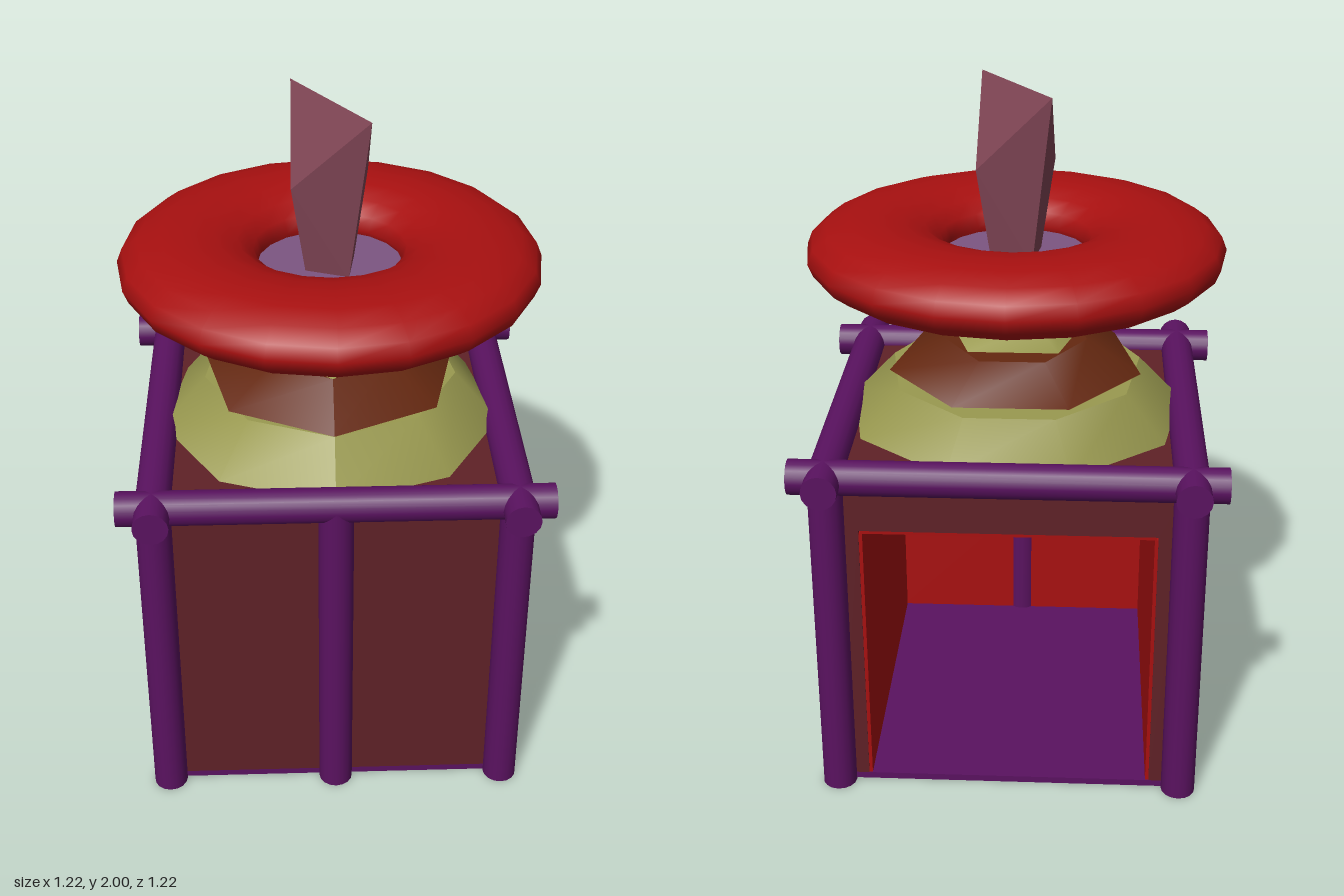
import * as THREE from 'three';
import { ConvexGeometry } from 'three/addons/geometries/ConvexGeometry.js';

const mat = (color, extra = {}) => new THREE.MeshStandardMaterial({ color, ...extra });
const purple = mat(0x5a1260), wall = mat(0x5f2127), red = mat(0xa81010);
const green = mat(0x9a9a50), brown = mat(0x652810);
const lilac = mat(0x7d5582), gem = mat(0x804555, { flatShading: true });

export function createModel() {
  const model = new THREE.Group();
  const add = (name, geometry, material, x = 0, y = 0, z = 0) => {
    const mesh = new THREE.Mesh(geometry, material);
    mesh.name = name;
    mesh.position.set(x, y, z);
    model.add(mesh);
    return mesh;
  };
  const box = (name, material, w, h, d, x, y, z) =>
    add(name, new THREE.BoxGeometry(w, h, d), material, x, y, z);

  // Hut walls: a thick arch open at the back, closed by a front panel
  const arch = new THREE.Shape([
    [-0.5, 0.02], [-0.42, 0.02], [-0.42, 0.85], [0.42, 0.85],
    [0.42, 0.02], [0.5, 0.02], [0.5, 1.02], [-0.5, 1.02],
  ].map(([x, y]) => new THREE.Vector2(x, y)));
  add('walls', new THREE.ExtrudeGeometry(arch, { depth: 0.98, bevelEnabled: false }), wall, 0, 0, -0.5);
  box('frontWall', wall, 1, 1, 0.02, 0, 0.52, 0.49);
  box('floor', purple, 1, 0.02, 1, 0, 0.01, 0);

  // Red lining of the room
  for (const s of [-1, 1]) box('sideLining', red, 0.01, 0.82, 0.975, s * 0.415, 0.43, -0.01);
  box('ceilingLining', red, 0.83, 0.01, 0.975, 0, 0.845, -0.01);
  box('frontLining', red, 0.83, 0.82, 0.01, 0, 0.43, 0.474);

  // Posts at the corners and at the middle of the three closed walls
  const P = 0.507, R = 0.05;
  const posts = [[-P, -P], [P, -P], [-P, P], [P, P], [0, P], [P, 0], [-P, 0]];
  for (const [x, z] of posts) {
    add('post', new THREE.CylinderGeometry(R, R, 1.02, 16), purple, x, 0.51, z);
  }

  // Crossing beams around the roof
  for (const s of [-1, 1]) {
    add('roofBeamAcross', new THREE.CylinderGeometry(R, R, 1.215, 16), purple, 0, 1.02, s * P).rotation.z = Math.PI / 2;
    add('roofBeamAlong', new THREE.CylinderGeometry(R, R, 1.215, 16), purple, s * P, 1.02, 0).rotation.x = Math.PI / 2;
  }

  // Striped dome: each end is [half width, front reach, back reach]
  const layer = (name, material, sides, y0, y1, bottom, top) => {
    const g = new THREE.CylinderGeometry(1, 1, y1 - y0, sides);
    const p = g.attributes.position;
    const wide = Math.sin(Math.round(sides / 4) * 2 * Math.PI / sides);
    const back = Math.cos(Math.PI / sides);
    for (let i = 0; i < p.count; i++) {
      const [w, f, b] = p.getY(i) > 0 ? top : bottom;
      const t = (p.getZ(i) + back) / (1 + back);
      p.setX(i, p.getX(i) * w / wide);
      p.setZ(i, -b + t * (f + b));
    }
    g.computeVertexNormals();
    add(name, g, material, 0, (y0 + y1) / 2, 0);
  };
  layer('domeBase', green, 9, 1.02, 1.165, [0.5, 0.5, 0.48], [0.37, 0.387, 0.413]);
  layer('domeLowerStripe', brown, 7, 1.165, 1.27, [0.37, 0.386, 0.345], [0.21, 0.25, 0.258]);
  layer('domeUpperBand', green, 5, 1.27, 1.33, [0.21, 0.25, 0.19], [0.11, 0.1, 0.13]);
  layer('domeTip', brown, 3, 1.33, 1.375, [0.1, 0.1, 0.05], [0.01, 0.01, 0.005]);

  // Flattened ring with a shallow inverted cone filling its hole
  const ring = new THREE.TorusGeometry(0.406, 0.202, 16, 20);
  ring.rotateX(Math.PI / 2).scale(1, 0.5, 1);
  add('ring', ring, red, 0, 1.525, 0);
  add('dish', new THREE.CylinderGeometry(0.43, 0, 0.155, 32), lilac, 0, 1.4325, 0);

  // Crystal: a small foot, a waist and a slanting top ridge
  const points = [];
  for (const s of [-1, 1]) {
    points.push(
      new THREE.Vector3(s * 0.105, 2, s * 0.17),
      new THREE.Vector3(s * 0.11, 1.77, s * -0.07),
      new THREE.Vector3(s * 0.05, 1.5, s * 0.09),
      new THREE.Vector3(s * 0.07, 1.5, s * -0.045));
  }
  add('crystal', new ConvexGeometry(points), gem);

  return model;
}
